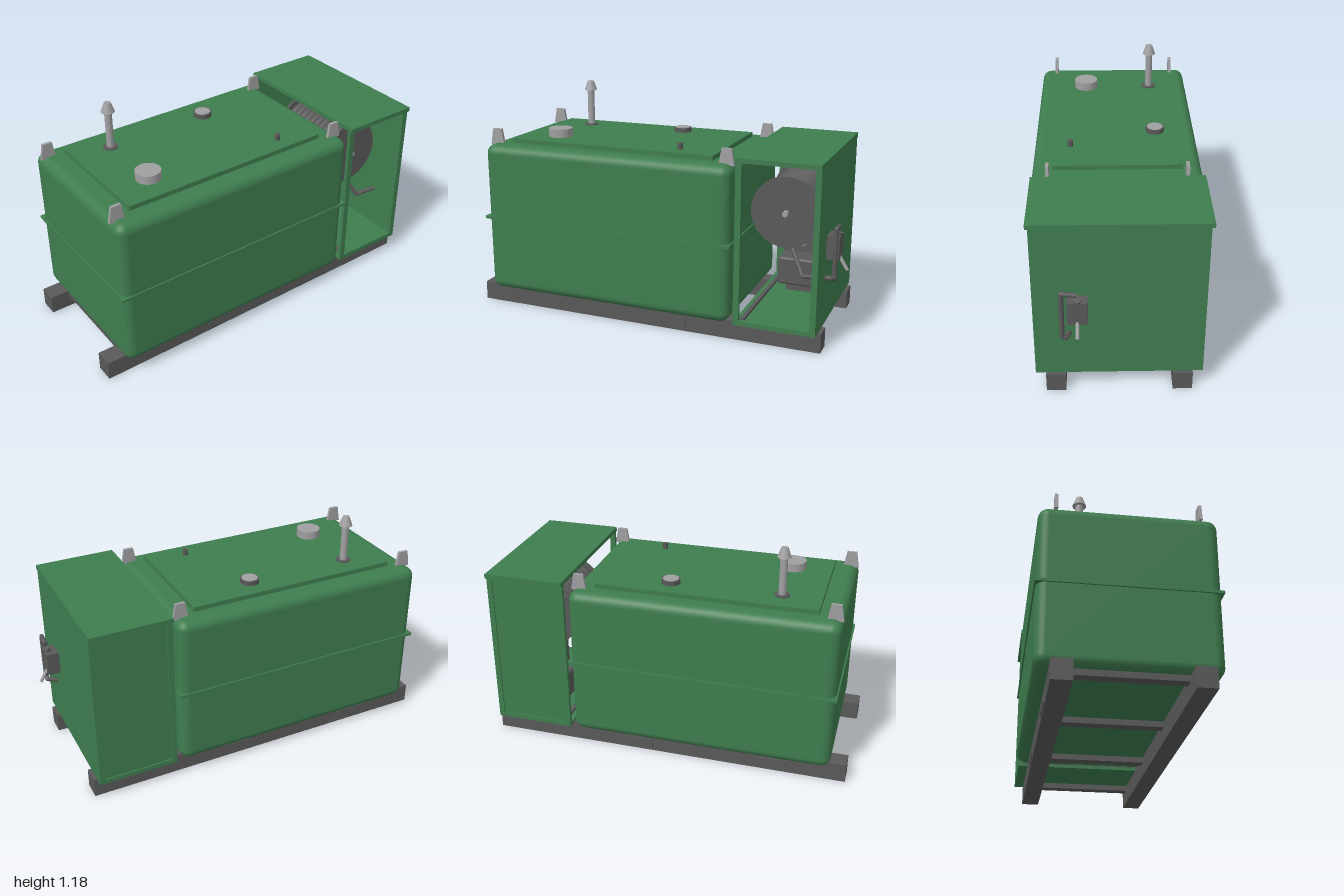
import * as THREE from 'three';
import { RoundedBoxGeometry } from 'three/addons/geometries/RoundedBoxGeometry.js';

export function createModel() {
  const model = new THREE.Group();
  const mat = (name, color) => Object.assign(new THREE.MeshStandardMaterial({ color }), { name });
  const green = mat('green paint', 0x3f7d4f);
  const dark = mat('dark grey steel', 0x595959);
  const silver = mat('light grey metal', 0xa0a0a2);

  const add = (name, geometry, material, x = 0, y = 0, z = 0, parent = model) => {
    const m = new THREE.Mesh(geometry, material);
    m.name = name;
    m.position.set(x, y, z);
    parent.add(m);
    return m;
  };
  // box given by its min and max corners
  const box = (name, material, x0, x1, y0, y1, z0, z1, parent) =>
    add(name, new THREE.BoxGeometry(x1 - x0, y1 - y0, z1 - z0), material,
      (x0 + x1) / 2, (y0 + y1) / 2, (z0 + z1) / 2, parent);
  // upright cylinder from y0 to y1
  const post = (name, material, x, z, y0, y1, r, rTop = r, parent = model) =>
    add(name, new THREE.CylinderGeometry(rTop, r, y1 - y0, 24), material, x, (y0 + y1) / 2, z, parent);
  // cylinder along z from z0 to z1
  const disc = (name, material, x, y, z0, z1, r, parent) => {
    const m = add(name, new THREE.CylinderGeometry(r, r, z1 - z0, 40), material, x, y, (z0 + z1) / 2, parent);
    m.rotation.x = Math.PI / 2;
    return m;
  };
  // pipe through straight runs with round elbows
  const pipe = (name, material, pts, r, parent) => {
    const v = pts.map(p => new THREE.Vector3(...p));
    for (let i = 0; i < v.length - 1; i++) {
      const d = v[i + 1].clone().sub(v[i]);
      const mid = v[i].clone().addScaledVector(d, 0.5);
      const m = add(name, new THREE.CylinderGeometry(r, r, d.length(), 14), material, mid.x, mid.y, mid.z, parent);
      m.quaternion.setFromUnitVectors(new THREE.Vector3(0, 1, 0), d.normalize());
      if (i > 0) add(name + 'Elbow', new THREE.SphereGeometry(r, 14, 10), material, ...pts[i], parent);
    }
  };

  // skid base
  const skid = new THREE.Group();
  skid.name = 'skidBase';
  model.add(skid);
  for (const s of [-1, 1]) {
    add('skidRail', new THREE.BoxGeometry(1.91, 0.1, 0.095), dark, -0.045, 0.05, s * 0.3075, skid);
    for (const x of [0.115, -0.61])
      add('railPlate', new THREE.BoxGeometry(0.18, 0.05, 0.006), dark, x, 0.045, s * 0.357, skid);
  }
  for (const x of [0.81, 0.26, -0.3, -0.87])
    add('crossMember', new THREE.BoxGeometry(0.055, 0.03, 0.53), dark, x, 0.085, 0, skid);

  // tank body, waist flange and raised lid
  add('tankBody', new RoundedBoxGeometry(1.37, 0.805, 0.845, 5, 0.05), green, -0.235, 0.5025, 0);
  add('waistFlange', new THREE.BoxGeometry(1.386, 0.014, 0.86), green, -0.235, 0.507, 0);
  box('tankLid', green, -0.8, 0.33, 0.89, 0.929, -0.325, 0.32);

  // lifting lugs
  const lug = new THREE.Shape([[-0.04, 0], [0.04, 0], [0.025, 0.085], [-0.025, 0.085]]
    .map(p => new THREE.Vector2(...p)));
  const lugGeo = new THREE.ExtrudeGeometry(lug, { depth: 0.016, bevelEnabled: false });
  lugGeo.translate(0, 0, -0.008);
  for (const x of [-0.88, 0.41])
    for (const z of [-0.34, 0.34]) add('liftingLug', lugGeo, silver, x, 0.895, z);

  // vent pipe with cap
  post('ventBase', dark, -0.6, -0.2, 0.925, 0.936, 0.038);
  post('ventPipe', silver, -0.6, -0.2, 0.93, 1.135, 0.019);
  post('ventCap', silver, -0.6, -0.2, 1.13, 1.18, 0.035, 0.017);

  // fittings on the lid
  post('fillerCap', silver, -0.6, 0.16, 0.925, 0.973, 0.064);
  post('gaugeRim', dark, -0.035, -0.205, 0.925, 0.953, 0.048);
  post('gaugeFace', silver, -0.035, -0.205, 0.95, 0.956, 0.041);
  post('smallFitting', dark, 0.125, 0.235, 0.925, 0.962, 0.014);

  // cabinet, open at the front and towards the tank
  const cab = new THREE.Group();
  cab.name = 'cabinet';
  model.add(cab);
  box('cabinetRoof', green, 0.475, 0.893, 0.93, 0.953, -0.42, 0.418, cab);
  box('cabinetFloor', green, 0.475, 0.89, 0.1, 0.115, -0.405, 0.405, cab);
  box('cabinetSide', green, 0.875, 0.892, 0.1, 0.935, -0.405, 0.405, cab);
  box('cabinetBack', green, 0.48, 0.88, 0.1, 0.935, -0.398, -0.385, cab);
  for (const z of [-0.395, 0.395]) {
    box('cornerPost', green, 0.475, 0.505, 0.1, 0.935, z - 0.01, z + 0.01, cab);
    box('cornerPost', green, 0.863, 0.892, 0.1, 0.935, z - 0.01, z + 0.01, cab);
    box('bottomLip', green, 0.5, 0.87, 0.1, 0.125, z - 0.01, z + 0.01, cab);
  }
  box('floorRail', dark, 0.505, 0.525, 0.115, 0.13, -0.38, 0.38, cab);

  // hose reel
  const reel = new THREE.Group();
  reel.name = 'hoseReel';
  model.add(reel);
  const rx = 0.677, ry = 0.648;
  disc('reelFlange', dark, rx, ry, 0.19, 0.205, 0.182, reel);
  disc('reelFlange', dark, rx, ry, -0.215, -0.2, 0.182, reel);
  disc('reelDrum', dark, rx, ry, -0.2, 0.19, 0.135, reel);
  disc('reelHub', silver, rx, ry, 0.205, 0.235, 0.014, reel);
  const coil = new THREE.TorusGeometry(0.145, 0.02, 10, 32);
  for (let i = 0; i < 10; i++) add('hoseCoil', coil, dark, rx, ry, -0.18 + i * 0.039, reel);
  for (const z of [-0.26, -0.235])
    box('reelBracket', dark, rx - 0.04, rx + 0.04, 0.47, ry + 0.03, z, z + 0.02, reel);

  // pump with motor
  const pump = new THREE.Group();
  pump.name = 'pump';
  model.add(pump);
  box('pumpBody', dark, 0.588, 0.762, 0.345, 0.5, -0.3, -0.11, pump);
  disc('pumpDial', silver, 0.677, 0.425, -0.115, -0.1, 0.046, pump);
  add('motorHousing', new RoundedBoxGeometry(0.235, 0.155, 0.25, 3, 0.015), dark, 0.675, 0.228, -0.23, pump);
  disc('motorCover', dark, 0.677, 0.23, -0.11, -0.097, 0.055, pump);
  box('motorFoot', dark, 0.6, 0.75, 0.112, 0.16, -0.33, -0.13, pump);

  // delivery hose and nozzle on the cabinet side
  const nozzle = new THREE.Group();
  nozzle.name = 'nozzleAndHose';
  model.add(nozzle);
  pipe('deliveryHose', dark, [[0.67, 0.5, 0.12], [0.77, 0.328, 0.2], [0.94, 0.358, 0.25],
    [0.942, 0.37, 0.268], [0.942, 0.615, 0.268], [0.942, 0.607, 0.195]], 0.012, nozzle);
  box('nozzleHolder', dark, 0.89, 0.955, 0.447, 0.567, 0.147, 0.243, nozzle);
  pipe('nozzleHandle', dark, [[0.935, 0.56, 0.195], [0.942, 0.58, 0.195]], 0.018, nozzle);
  pipe('nozzleSpout', silver, [[0.94, 0.47, 0.195], [0.99, 0.39, 0.195]], 0.009, nozzle);
  return model;
}
